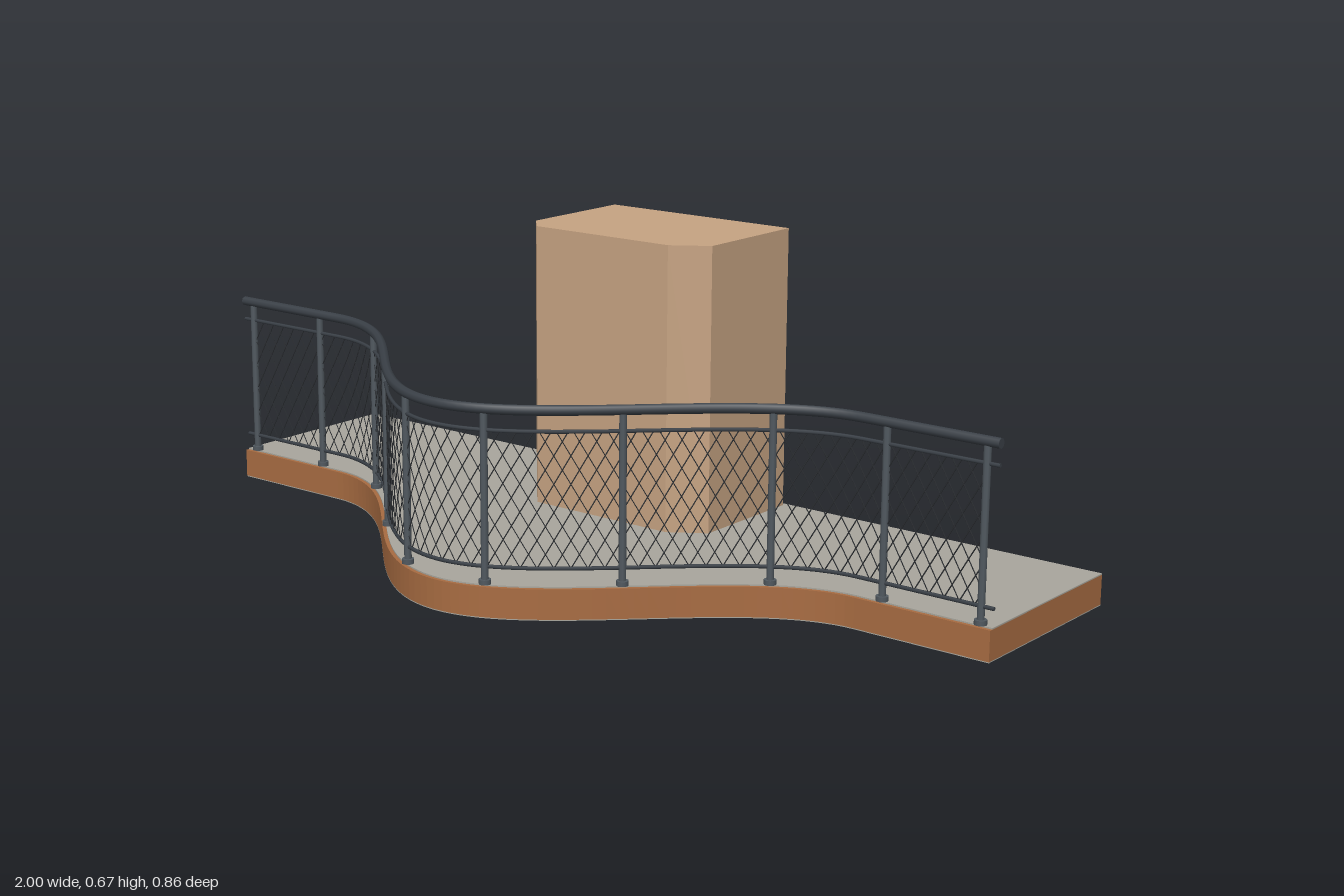
import * as THREE from 'three';
import { mergeGeometries } from 'three/addons/utils/BufferGeometryUtils.js';

const material = (name, color, side = THREE.FrontSide) => {
  const m = new THREE.MeshStandardMaterial({ color, side });
  m.name = name;
  return m;
};

const BULGE = 0.432, HALF = 0.7, BACK = -0.432;
const DECK_Y = 0.067, RAIL_Y = 0.42, LOW_Y = 0.103, HIGH_Y = 0.378;

// Front edge: straight at both ends with a cosine bulge in the middle
const edgeZ = x => Math.abs(x) >= HALF ? 0 : BULGE * 0.5 * (1 + Math.cos(Math.PI * x / HALF));
const edgeSlope = x => Math.abs(x) >= HALF ? 0 : -BULGE * 0.5 * Math.PI / HALF * Math.sin(Math.PI * x / HALF);

// Point on the edge moved inwards by d
function insetPoint(x, d) {
  const s = edgeSlope(x), l = Math.hypot(1, s);
  return [x + d * s / l, edgeZ(x) - d / l];
}

function extrudeUp(points, y0, y1) {
  const shape = new THREE.Shape(points.map(([x, z]) => new THREE.Vector2(x, -z)));
  const g = new THREE.ExtrudeGeometry(shape, { depth: y1 - y0, bevelEnabled: false });
  g.rotateX(-Math.PI / 2);
  g.translate(0, y0, 0);
  return g;
}

function outline(inset) {
  const pts = [[-1, BACK]];
  for (let i = 0; i <= 100; i++) pts.push(insetPoint(-1 + i / 50, inset));
  pts.push([1, BACK]);
  return pts;
}

export function createModel() {
  const group = new THREE.Group();
  const brown = material('brown fascia', 0xa86c42);
  const grey = material('grey floor', 0xa9a69d);
  const tan = material('tan block', 0xc6a382);
  const railMat = material('dark rail metal', 0x3a4047);
  const postMat = material('post metal', 0x515960);
  const wireMat = material('wire', 0x2c2f33);

  const add = (name, geometry, mat) => {
    const mesh = new THREE.Mesh(geometry, mat);
    mesh.name = name;
    group.add(mesh);
    return mesh;
  };

  // Balcony floor: soffit, brown body and thin deck
  add('soffit', extrudeUp(outline(0), 0, 0.002), grey);
  add('slab', extrudeUp(outline(0), 0.002, 0.064), brown);
  add('deck', extrudeUp(outline(0.008), 0.064, DECK_Y), grey);

  // Block with two chamfered front corners
  add('block', extrudeUp([
    [-0.23, -0.42], [-0.23, -0.15], [-0.185, -0.1],
    [0.165, -0.1], [0.24, -0.15], [0.24, -0.42],
  ], DECK_Y, 0.675), tan);

  // Railing line, measured by arc length
  const line = [];
  for (let i = 0; i <= 120; i++) {
    const [x, z] = insetPoint(-1 + i / 60, 0.012);
    line.push(new THREE.Vector3(x, 0, z));
  }
  const path = new THREE.CatmullRomCurve3(line);
  path.arcLengthDivisions = 600;
  const length = path.getLength();
  const at = (s, y) => path.getPointAt(THREE.MathUtils.clamp(s / length, 0, 1)).setY(y);

  // Horizontal bars with closed ends
  const bar = (name, y, r, sides, mat) => {
    const curve = new THREE.CatmullRomCurve3(line.map(p => p.clone().setY(y)));
    add(name, new THREE.TubeGeometry(curve, 120, r, sides), mat);
    for (const e of [-1, 1]) {
      const cap = add(name + 'End', new THREE.CircleGeometry(r, sides), mat);
      cap.position.set(e, y, -0.012);
      cap.rotation.y = e * Math.PI / 2;
    }
  };
  bar('handrail', RAIL_Y, 0.0105, 8, railMat);
  bar('upperBar', HIGH_Y, 0.004, 6, railMat);
  bar('lowerBar', LOW_Y, 0.004, 6, railMat);

  // Posts with foot plates
  for (let i = 0; i < 10; i++) {
    const x = -0.972 + i * 0.216;
    const [px, pz] = insetPoint(x, 0.012);
    const post = new THREE.Group();
    post.name = 'post' + (i + 1);
    const shaft = new THREE.Mesh(new THREE.CylinderGeometry(0.0075, 0.0075, RAIL_Y - DECK_Y, 8), postMat);
    shaft.name = 'postShaft';
    shaft.position.y = (RAIL_Y + DECK_Y) / 2;
    const foot = new THREE.Mesh(new THREE.CylinderGeometry(0.0125, 0.0125, 0.01, 12), postMat);
    foot.name = 'postFoot';
    foot.position.y = DECK_Y + 0.005;
    post.add(shaft, foot);
    post.position.set(px, 0, pz);
    group.add(post);
  }

  // Diamond netting: two families of slanted wires that follow the curve
  const start = 0.028, end = length - 0.028, run = 0.16, step = 0.033;
  const wires = [];
  for (const dir of [-1, 1]) {
    for (let s = start - run; s < end + run; s += step) {
      const ta = (start - s) / (dir * run), tb = (end - s) / (dir * run);
      const t0 = Math.max(0, Math.min(ta, tb)), t1 = Math.min(1, Math.max(ta, tb));
      if (t1 - t0 < 0.03) continue;
      const pts = [];
      for (let k = 0; k <= 6; k++) {
        const t = t0 + (t1 - t0) * k / 6;
        pts.push(at(s + dir * run * t, LOW_Y + (HIGH_Y - LOW_Y) * t));
      }
      wires.push(new THREE.TubeGeometry(new THREE.CatmullRomCurve3(pts), 6, 0.0013, 4));
    }
  }
  add('netting', mergeGeometries(wires), wireMat);

  return group;
}
